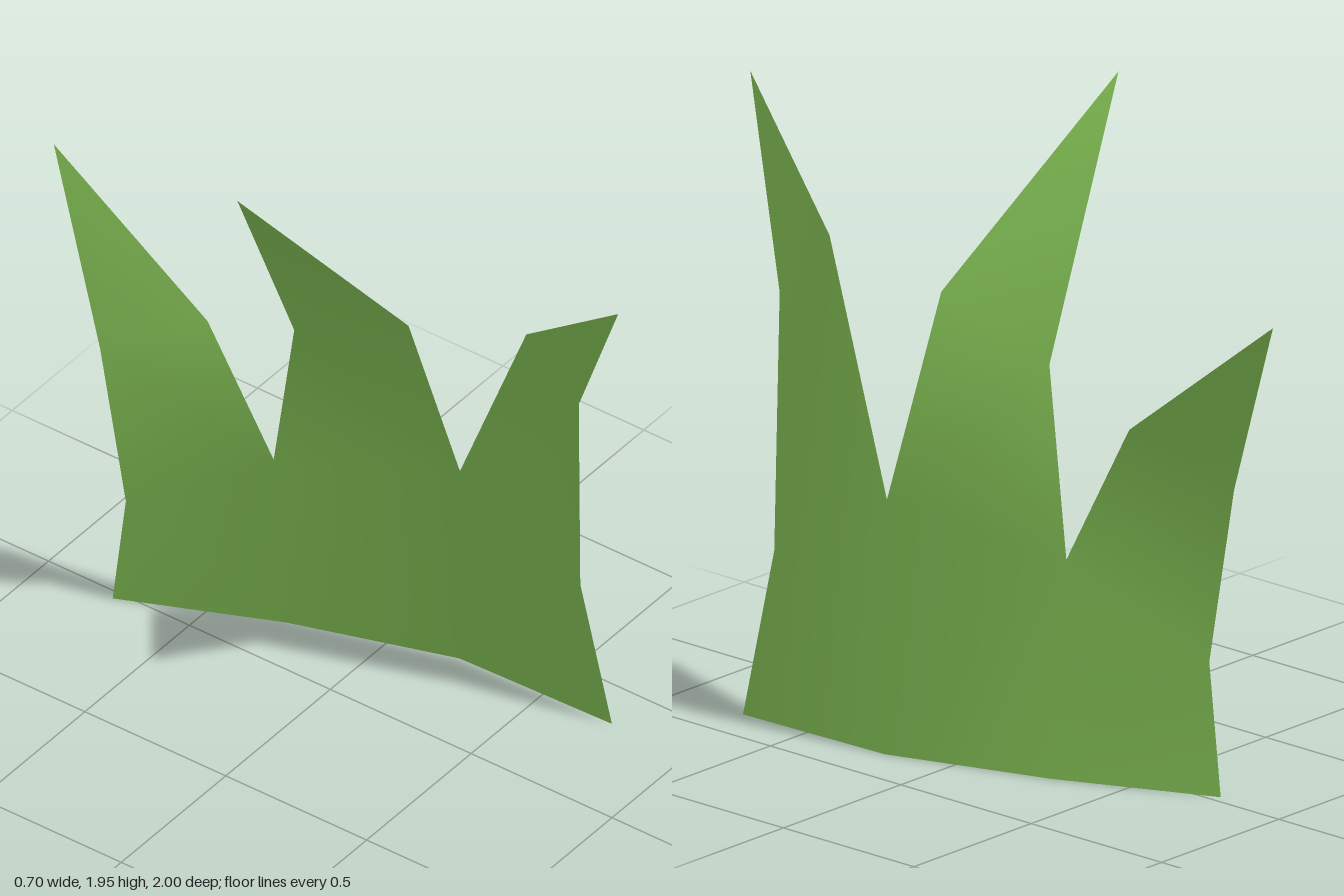
import * as THREE from 'three';

// Each blade is a stack of [frontEdge, backEdge] cross-sections from the ground up, closed by a tip.
// Neighbouring blades share their base and notch points, making one curved sheet.
const base = [[0.35, 0, 0.74], [0.335, 0, 0.21], [0.175, 0, -0.285], [-0.03, 0, -0.75]];
const frontNotch = [0.27, 0.74, 0.26];
const backNotch = [0.1, 0.64, -0.275];

const blades = [
  { // front blade
    rows: [[base[0], base[1]], [[0.3, 0.5, 0.665], frontNotch], [[0.205, 1.24, 0.73], [0.17, 1.44, 0.57]]],
    tip: [0.03, 1.8, 1],
  },
  { // tall middle blade
    rows: [[base[1], base[2]], [frontNotch, backNotch], [[0.105, 1.34, 0.2], [0.05, 1.19, -0.165]]],
    tip: [-0.35, 1.95, -0.07],
  },
  { // back blade
    rows: [[base[2], base[3]], [backNotch, [-0.048, 0.39, -0.69]], [[0.06, 1.07, -0.48], [-0.07, 0.92, -0.765]]],
    tip: [0.025, 1.49, -1],
  },
];

function buildSheet() {
  const positions = [];
  const indices = [];
  const known = new Map();
  // Shared points are reused so the normals stay smooth across the sheet
  const id = (p) => {
    if (!known.has(p)) {
      known.set(p, positions.length / 3);
      positions.push(...p);
    }
    return known.get(p);
  };
  for (const { rows, tip } of blades) {
    for (let i = 0; i < rows.length - 1; i++) {
      const [l0, r0] = rows[i].map(id);
      const [l1, r1] = rows[i + 1].map(id);
      indices.push(l0, r0, r1, l0, r1, l1);
    }
    const [l, r] = rows[rows.length - 1].map(id);
    indices.push(l, r, id(tip));
  }
  const geometry = new THREE.BufferGeometry();
  geometry.setAttribute('position', new THREE.Float32BufferAttribute(positions, 3));
  geometry.setIndex(indices);
  geometry.computeVertexNormals();
  return geometry;
}

export function createModel() {
  const group = new THREE.Group();
  group.name = 'grassTuft';
  const green = new THREE.MeshStandardMaterial({ color: 0x86c457, side: THREE.DoubleSide });
  green.name = 'grass green';
  const sheet = new THREE.Mesh(buildSheet(), green);
  sheet.name = 'grassBlades';
  group.add(sheet);
  return group;
}
